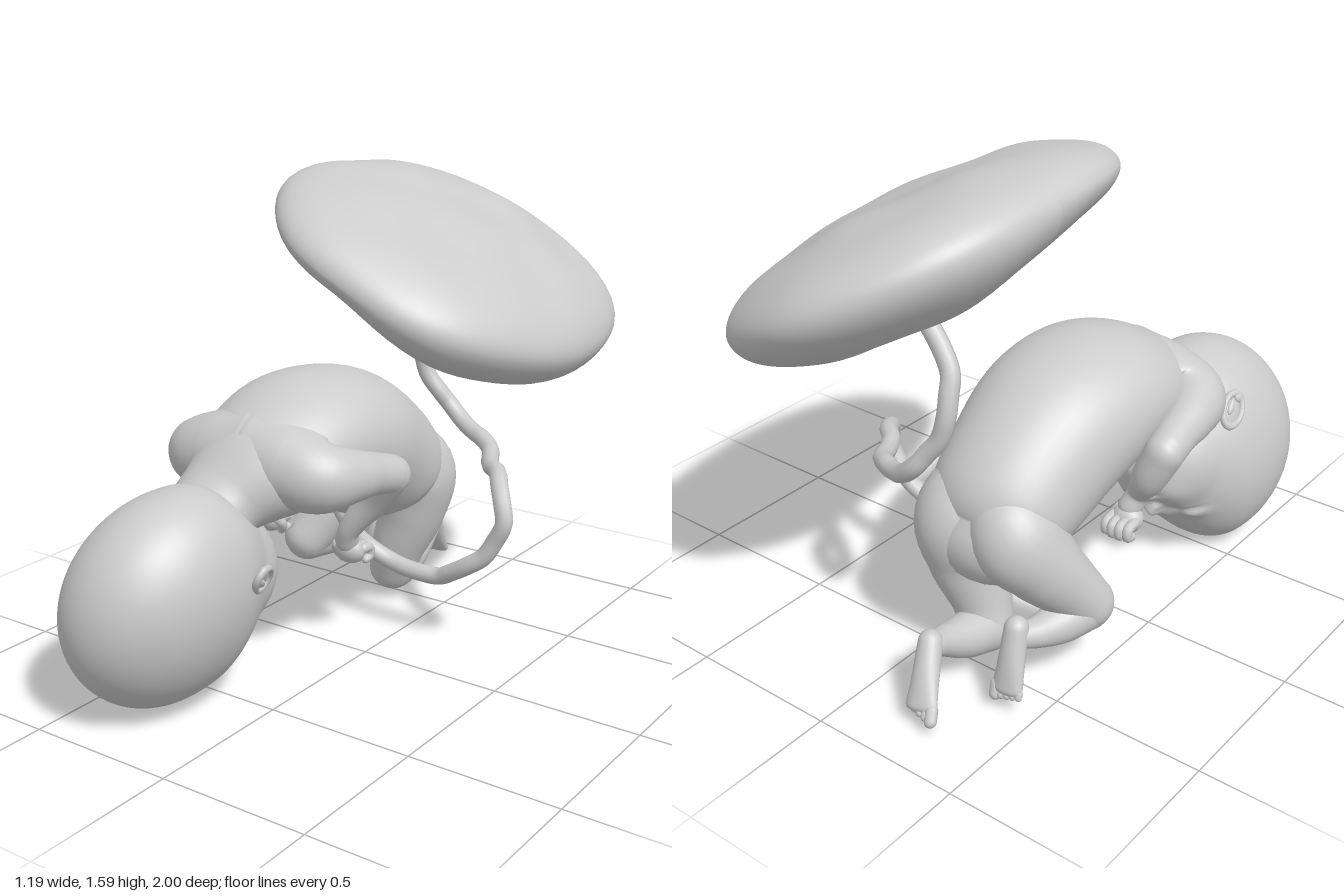
import * as THREE from 'three';

const material = new THREE.MeshStandardMaterial({ color: 0xcccccc, roughness: 0.8 });
const V = (x, y, z) => new THREE.Vector3(x, y, z);
const AXIS_X = V(1, 0, 0), AXIS_Y = V(0, 1, 0);

function add(parent, name, geometry) {
  const mesh = new THREE.Mesh(geometry, material);
  mesh.name = name;
  parent.add(mesh);
  return mesh;
}

function ellipsoid(parent, name, pos, radii, rot = [0, 0, 0]) {
  const mesh = add(parent, name, new THREE.SphereGeometry(1, 24, 16));
  mesh.position.set(...pos);
  mesh.scale.set(...radii);
  mesh.rotation.set(...rot);
}

// Smooth elliptical loft with round ends; each section is [x, y, z, width, depth]
function loft(sections, ref = AXIS_X, sides = 24, steps = 6) {
  const path = new THREE.CatmullRomCurve3(sections.map(s => V(s[0], s[1], s[2])));
  const size = new THREE.CatmullRomCurve3(sections.map((s, i) => V(s[3], s[4] ?? s[3], i * 0.05)));
  const stations = [], n = (sections.length - 1) * steps;
  const station = (t, sign, u) => {
    const r = size.getPoint(t), tan = path.getTangent(t), k = Math.sqrt(1 - u * u);
    const p = path.getPoint(t).addScaledVector(tan, sign * u * Math.min(r.x, r.y));
    stations.push([p, tan, r.x * k, r.y * k]);
  };
  for (let i = 6; i > 0; i--) station(0, -1, Math.sin(i * Math.PI / 12));
  for (let i = 0; i <= n; i++) station(i / n, 1, 0);
  for (let i = 1; i <= 6; i++) station(1, 1, Math.sin(i * Math.PI / 12));

  const positions = [], index = [];
  stations.forEach(([p, tan, a, b], i) => {
    const side = ref.clone().addScaledVector(tan, -ref.dot(tan)).normalize();
    const normal = tan.clone().cross(side);
    for (let j = 0; j < sides; j++) {
      const t = j / sides * Math.PI * 2;
      const q = p.clone().addScaledVector(side, a * Math.cos(t)).addScaledVector(normal, b * Math.sin(t));
      positions.push(q.x, q.y, q.z);
      if (i === stations.length - 1) continue;
      const k = i * sides + j, k1 = i * sides + (j + 1) % sides;
      index.push(k, k1, k + sides, k1, k1 + sides, k + sides);
    }
  });
  const g = new THREE.BufferGeometry();
  g.setAttribute('position', new THREE.Float32BufferAttribute(positions, 3));
  g.setIndex(index);
  g.computeVertexNormals();
  return g;
}

// Move every vertex of a sphere by a rule
function shapedSphere(w, h, rule) {
  const g = new THREE.SphereGeometry(1, w, h), p = g.attributes.position, v = V(0, 0, 0);
  for (let i = 0; i < p.count; i++) {
    rule(v.fromBufferAttribute(p, i));
    p.setXYZ(i, v.x, v.y, v.z);
  }
  g.computeVertexNormals();
  return g;
}

// Face relief, mirrored left and right: [x, y, height, spread x, spread y]
const FACE = [
  [0, -0.115, 0.04, 0.02, 0.022], [0, -0.15, 0.012, 0.016, 0.03], [0.021, -0.102, 0.014, 0.012, 0.012],
  [0, -0.064, 0.016, 0.036, 0.011], [0, -0.05, -0.012, 0.042, 0.006], [0, -0.036, 0.014, 0.032, 0.011],
  [0, 0.03, 0.012, 0.045, 0.035], [0.09, -0.06, 0.01, 0.05, 0.05], [0.045, -0.14, -0.01, 0.02, 0.025],
  [0.088, -0.17, 0.014, 0.038, 0.026], [0.088, -0.152, -0.012, 0.038, 0.007]];

// Skull with the face mass blended in, then the relief pushed outwards
function shapeHead(v) {
  const s = THREE.MathUtils.smoothstep(-v.z, 0.15, 1), crown = 1 + 0.08 * Math.max(v.z, 0);
  v.set(v.x * 0.265 * crown * (1 - 0.15 * s), v.y * 0.36 * (1 - 0.25 * s) + 0.03 * s, v.z * 0.38);
  const skull = v.length(), size = V(0.188, 0.17, 0.175);
  const d = v.normalize().clone().divide(size), c = V(0, 0.03, -0.22).divide(size);
  const a = d.dot(d), b = d.dot(c), disc = b * b - a * (c.dot(c) - 1);
  const face = disc > 0 ? (b + Math.sqrt(disc)) / a : 0;
  const blend = Math.max(0.07 - Math.abs(skull - face), 0);
  v.multiplyScalar(Math.max(skull, face) + blend * blend / 0.28);
  if (v.z > -0.1) return;
  const relief = FACE.reduce((sum, [x, y, h, sx, sy]) =>
    sum + h * Math.exp(-(((Math.abs(v.x) - x) / sx) ** 2) - ((v.y - y) / sy) ** 2), 0);
  v.multiplyScalar(1 + relief / v.length());
}

// Head: crown towards +z, face towards -z, chin up, rolled to one side
function makeHead() {
  const head = new THREE.Group();
  head.name = 'head';
  add(head, 'skullAndFace', shapedSphere(200, 130, shapeHead));
  for (const s of [-1, 1]) {
    const ear = new THREE.Group();
    ear.name = 'ear';
    const rim = add(ear, 'earRim', new THREE.TorusGeometry(0.046, 0.012, 10, 32));
    rim.scale.set(0.85, 1.25, 1);
    ellipsoid(ear, 'earBowl', [0, 0, -0.006], [0.04, 0.056, 0.012]);
    ellipsoid(ear, 'earLobe', [0.008, 0.052, 0], [0.024, 0.02, 0.013]);
    ellipsoid(ear, 'earFold', [-0.012, 0.005, 0.004], [0.012, 0.03, 0.01]);
    // Lean the ear back, then turn it to face outwards
    ear.position.set(s * 0.236, 0.15, -0.122);
    ear.rotation.set(s * 0.15, s * (Math.PI / 2 + 0.2), s * 0.8, 'YXZ');
    head.add(ear);
  }
  head.position.set(-0.3, 0.355, 0.62);
  head.rotation.z = -0.3;
  return head;
}

// Arm from the middle of the shoulders to a curled hand; side is +1 for left, -1 for right
function makeArm(side, hand) {
  const arm = new THREE.Group();
  arm.name = side > 0 ? 'leftArm' : 'rightArm';
  const m = (x, ...rest) => [-0.215 + side * (x + 0.215), ...rest];
  add(arm, 'upperArm', loft([
    m(-0.2, 0.715, 0.265, 0.165, 0.15), m(-0.07, 0.715, 0.275, 0.137), m(0.025, 0.7, 0.265, 0.115),
    m(0.073, 0.69, 0.18, 0.086), m(0.088, 0.675, 0.09, 0.07), m(0.1, 0.655, 0.01, 0.064)], AXIS_Y, 32, 8));
  const [hx, hy, hz] = hand, e = m(0.1, 0.65, 0.0);
  add(arm, 'forearm', loft([
    [...e, 0.064], [e[0] * 0.6 + hx * 0.4, 0.55, -0.015, 0.056],
    [hx + side * 0.02, hy + 0.07, hz + 0.015, 0.038], [hx, hy + 0.02, hz, 0.04]]));
  ellipsoid(arm, 'palm', [hx, hy - 0.015, hz - 0.015], [0.054, 0.05, 0.042], [0.5, 0, 0]);
  for (let i = 0; i < 4; i++) {
    const x = hx + (i - 1.5) * 0.027, d = Math.abs(i - 1.5) * 0.006;
    add(arm, 'finger', loft([
      [x, hy - 0.01, hz - 0.035, 0.018], [x, hy - 0.018, hz - 0.08 + d, 0.017],
      [x, hy - 0.045, hz - 0.083 + d, 0.016], [x, hy - 0.053, hz - 0.05, 0.014]], AXIS_X, 10, 4));
  }
  add(arm, 'thumb', loft([
    [hx - side * 0.04, hy, hz, 0.019], [hx - side * 0.055, hy - 0.03, hz - 0.02, 0.017],
    [hx - side * 0.04, hy - 0.055, hz - 0.03, 0.014]], AXIS_Y, 10, 4));
  return arm;
}

// Leg from thigh, shin and foot sections, with five toes
function makeLeg(name, thigh, shin, heel, toe) {
  const leg = new THREE.Group();
  leg.name = name;
  const inward = name === 'leftLeg' ? -1 : 1;
  add(leg, 'thigh', loft(thigh, AXIS_X, 32));
  add(leg, 'shin', loft(shin));
  const h = V(...heel), t = V(...toe), mid = h.clone().lerp(t, 0.5);
  add(leg, 'foot', loft([[...heel, 0.038, 0.038], [...mid.toArray(), 0.044, 0.034], [...toe, 0.054, 0.022]]));
  const dir = t.clone().sub(h).normalize();
  for (let i = 0; i < 5; i++) {
    const r = i ? 0.014 - i * 0.0006 : 0.019, reach = 0.032 - i * 0.005;
    const a = t.clone().add(V(inward * (0.04 - i * 0.021), 0, 0)), b = a.clone().addScaledVector(dir, reach);
    add(leg, 'toe', loft([[...a.toArray(), r], [...b.toArray(), r]], AXIS_X, 10, 4));
  }
  return leg;
}

export function createModel() {
  const model = new THREE.Group();
  model.name = 'fetusWithPlacenta';

  // Curled torso from neck to pelvis
  add(model, 'torso', loft([
    [-0.285, 0.52, 0.55, 0.13, 0.11], [-0.26, 0.615, 0.41, 0.16, 0.125], [-0.22, 0.7, 0.26, 0.25, 0.175],
    [-0.21, 0.74, 0.08, 0.28, 0.215], [-0.2, 0.7, -0.1, 0.28, 0.24], [-0.2, 0.61, -0.27, 0.255, 0.235],
    [-0.2, 0.53, -0.385, 0.235, 0.21], [-0.2, 0.46, -0.445, 0.2, 0.155]], AXIS_X, 48, 8));
  model.add(makeHead());
  model.add(makeArm(1, [-0.08, 0.36, -0.01]), makeArm(-1, [-0.42, 0.4, -0.01]));

  model.add(makeLeg('leftLeg',
    [[-0.13, 0.61, -0.38, 0.12], [-0.105, 0.49, -0.455, 0.145, 0.152], [-0.115, 0.35, -0.455, 0.118, 0.125],
      [-0.16, 0.21, -0.44, 0.095, 0.1], [-0.19, 0.12, -0.45, 0.085]],
    [[-0.19, 0.12, -0.46, 0.085], [-0.19, 0.14, -0.56, 0.07], [-0.19, 0.18, -0.66, 0.048], [-0.195, 0.2, -0.71, 0.04]],
    [-0.195, 0.215, -0.72], [-0.245, 0.07, -0.825]));
  model.add(makeLeg('rightLeg',
    [[-0.26, 0.6, -0.4, 0.11], [-0.305, 0.5, -0.45, 0.142, 0.15], [-0.365, 0.4, -0.41, 0.125],
      [-0.42, 0.3, -0.34, 0.1], [-0.455, 0.23, -0.29, 0.085]],
    [[-0.455, 0.22, -0.29, 0.08], [-0.43, 0.205, -0.4, 0.068], [-0.41, 0.21, -0.49, 0.048], [-0.39, 0.22, -0.54, 0.04]],
    [-0.385, 0.25, -0.55], [-0.4, 0.075, -0.615]));

  // Umbilical cord, slightly kinked, from the placenta round to the navel
  const cord = [
    [0.12, 1.23, -0.48], [-0.01, 1.16, -0.5], [-0.11, 1.06, -0.53], [-0.155, 0.95, -0.555], [-0.12, 0.8, -0.59],
    [-0.02, 0.68, -0.605], [0.13, 0.625, -0.54], [0.24, 0.6, -0.4], [0.34, 0.58, -0.28], [0.38, 0.47, -0.24],
    [0.32, 0.35, -0.225], [0.2, 0.26, -0.22], [0.08, 0.225, -0.23], [-0.05, 0.245, -0.23], [-0.15, 0.31, -0.19], [-0.2, 0.45, -0.13]];
  const smooth = new THREE.CatmullRomCurve3(cord.map(p => V(...p)));
  const kinked = smooth.getSpacedPoints(32).map((p, i) =>
    p.add(V(0.005 * Math.sin(i * 2.3), 0.005 * Math.cos(i * 1.9), 0.005 * Math.sin(i * 1.7))));
  add(model, 'umbilicalCord', new THREE.TubeGeometry(new THREE.CatmullRomCurve3(kinked), 130, 0.03, 10));

  // Placenta: tilted thick disc, lumpy above, thinner under the front and fuller at the low rim
  const placenta = add(model, 'placenta', shapedSphere(64, 48, v => {
    const angle = Math.atan2(v.z, v.x), flat = Math.hypot(v.x, v.z);
    const c = Math.abs(Math.cos(angle)), s = Math.abs(Math.sin(angle));
    const rim = Math.pow(c ** 2.2 + s ** 2.2, -1 / 2.2) * (1 + 0.01 * Math.sin(7 * angle + 1));
    const lump = (Math.sin(v.x * 8 + 2 * v.z) * Math.cos(v.z * 7) + Math.sin(v.z * 13 - v.x * 5) * 0.5) * (1 - flat * flat);
    const r = Math.pow(flat, 0.88) * rim;
    const thin = 0.35 * THREE.MathUtils.smoothstep(v.z, -0.4, 0.4) * (1 - THREE.MathUtils.smoothstep(v.x, 0, 0.7));
    const full = 0.25 * Math.max(v.x, 0);
    const y = v.y > 0 ? v.y * 0.185 + lump * 0.008 : v.y * 0.2 * (1 - thin + full) + lump * 0.005;
    v.set(Math.cos(angle) * r * 0.55, y, Math.sin(angle) * r * 0.655);
  }));
  placenta.position.set(0.095, 1.28, -0.345);
  placenta.rotation.set(-0.07, 0, -0.48);
  return model;
}
